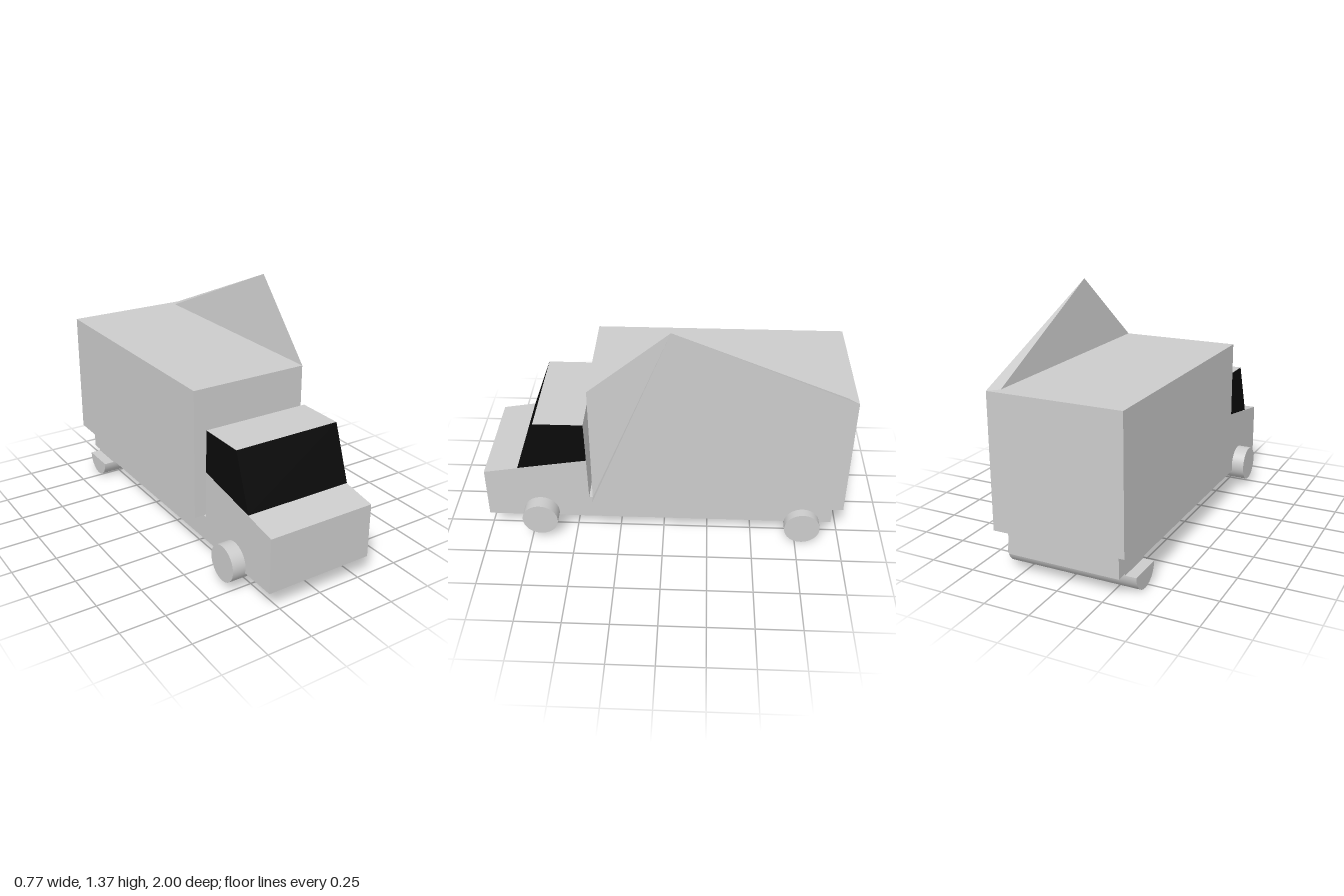
import * as THREE from 'three';

const grey = new THREE.MeshStandardMaterial({ color: 0xcccccc, side: THREE.DoubleSide });
const black = new THREE.MeshStandardMaterial({ color: 0x0a0a0a, side: THREE.DoubleSide });

const LEFT = 0.305, RIGHT = -0.315; // cab sides

// Flat polygons, corners counter-clockwise from outside
function faceted(polygons) {
  const pos = [];
  for (const p of polygons) {
    for (let i = 1; i < p.length - 1; i++) pos.push(...p[0], ...p[i], ...p[i + 1]);
  }
  const g = new THREE.BufferGeometry();
  g.setAttribute('position', new THREE.Float32BufferAttribute(pos, 3));
  g.computeVertexNormals();
  return g;
}

export function createModel() {
  const model = new THREE.Group();
  model.name = 'truck';
  const add = (name, geometry, material = grey) => {
    const m = new THREE.Mesh(geometry, material);
    m.name = name;
    model.add(m);
    return m;
  };

  // Cab base and chassis in one side profile (z, y)
  const profile = new THREE.Shape([
    [1, 0.11], [1, 0.415], [0.425, 0.515], [0.42, 0.25], [-0.95, 0.25], [-0.95, 0.11],
  ].map(([z, y]) => new THREE.Vector2(z, y)));
  const chassis = new THREE.ExtrudeGeometry(profile, { depth: LEFT - RIGHT, bevelEnabled: false });
  chassis.rotateY(-Math.PI / 2).translate(LEFT, 0, 0);
  add('chassis', chassis);

  // Cabin: dark windscreen and side windows, plain roof and rear
  const section = (x) => [[x, 0.45, 0.81], [x, 0.515, 0.425], [x, 0.755, 0.43], [x, 0.755, 0.7]];
  const l = section(LEFT), r = section(RIGHT);
  add('windows', faceted([[r[0], l[0], l[3], r[3]], l, [...r].reverse()]), black);
  add('cabinRoof', faceted([[r[3], l[3], l[2], r[2]], [l[1], r[1], r[2], l[2]]]));

  // Cargo box with the left wall rising to a peak
  const y0 = 0.25, y1 = 0.97, zf = 0.4, zb = -1, xr = -0.37, xi = 0.305, xo = 0.355;
  const frontRight = [xr, y0, zf], frontInner = [xi, y0, zf], frontOuter = [xo, y0, zf];
  const backRight = [xr, y0, zb], backLeft = [xo, y0, zb];
  const topFrontRight = [xr, y1, zf], topFrontInner = [xi, y1, zf];
  const topBackRight = [xr, y1, zb], topBackInner = [xi, y1, -0.95], topBackLeft = [xo, y1, zb];
  const peak = [xo, 1.365, -0.04];
  add('cargoBox', faceted([
    [frontRight, frontInner, topFrontInner, topFrontRight],
    [backLeft, backRight, topBackRight, topBackLeft],
    [backRight, frontRight, topFrontRight, topBackRight],
    [frontRight, backRight, backLeft, frontOuter, frontInner],
    [topFrontRight, topFrontInner, topBackInner, topBackRight],
    [topBackRight, topBackInner, topBackLeft],
    [frontOuter, backLeft, topBackLeft, peak],
    [frontInner, frontOuter, peak],
    [frontInner, peak, topFrontInner],
    [topFrontInner, peak, topBackInner],
    [topBackInner, peak, topBackLeft],
  ]));

  // Wheels run the full width as long rollers
  const roller = (name, x0, x1, y, z, start = 0, sweep = Math.PI * 2) => {
    const g = new THREE.CylinderGeometry(0.1, 0.1, x1 - x0, 48, 1, false, start, sweep);
    g.rotateZ(Math.PI / 2).translate((x0 + x1) / 2, y, z);
    add(name, g);
  };
  roller('frontWheels', -0.39, 0.385, 0.14, 0.695);
  roller('rearWheels', RIGHT, 0.357, 0.1, -0.785);

  // Right rear end is only the lower half, with a flat top
  roller('rearWheelRightEnd', -0.375, RIGHT, 0.1, -0.785, Math.PI, Math.PI);
  const flat = new THREE.PlaneGeometry(0.06, 0.2).rotateX(-Math.PI / 2);
  add('rearWheelRightTop', flat.translate(-0.345, 0.1, -0.785));

  return model;
}
